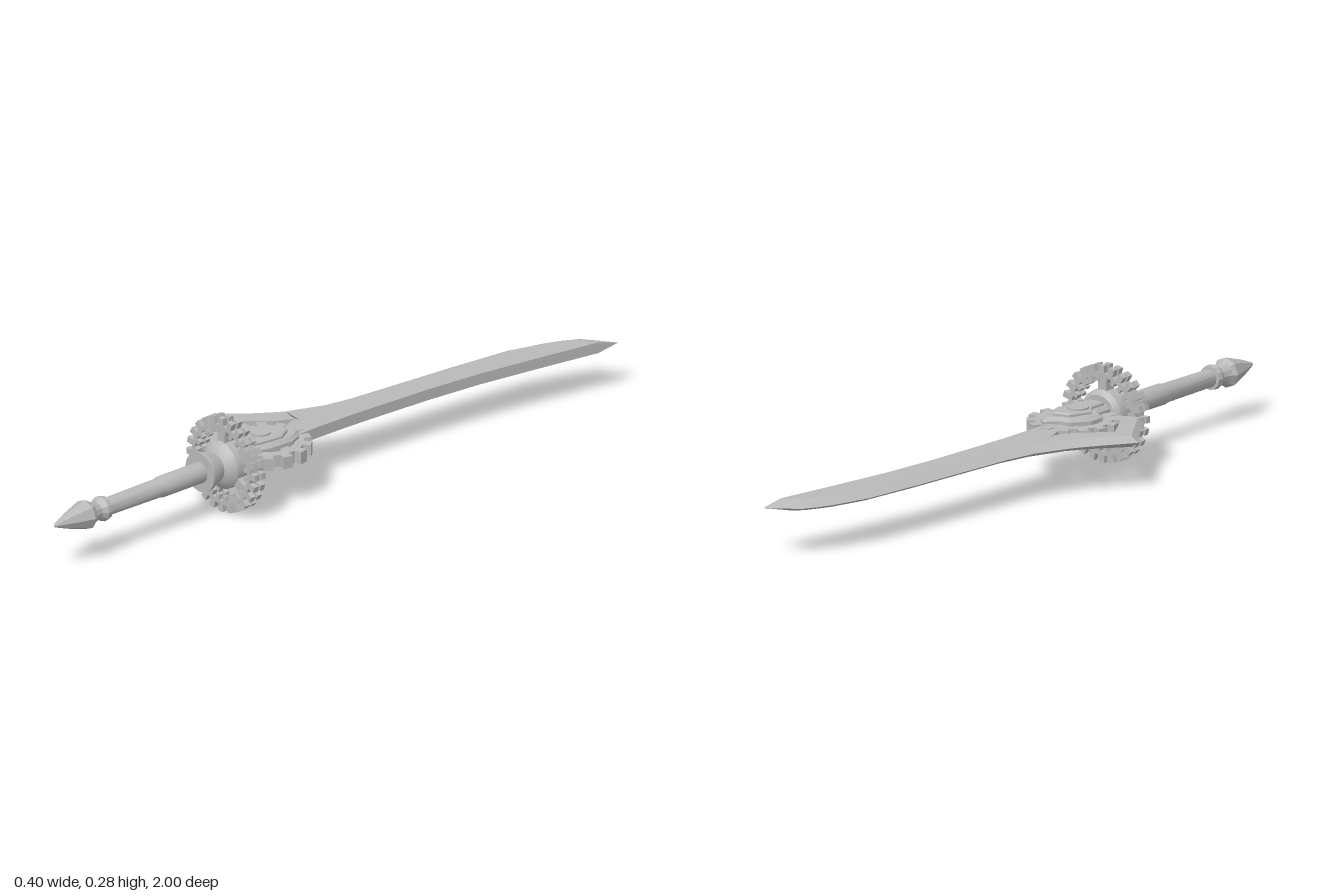
import * as THREE from 'three';
import { toCreasedNormals } from 'three/addons/utils/BufferGeometryUtils.js';

const AXIS = 0.063; // x of the handle axis
const TAU = Math.PI * 2;

export function createModel() {
  const steel = new THREE.MeshStandardMaterial({ color: 0xb8b8b8 });
  steel.name = 'steel';
  const sword = new THREE.Group();
  sword.name = 'gearSword';
  sword.position.y = 0.139;

  const add = (name, geometry, x = 0, y = 0, z = 0, crease = 0.4) => {
    const mesh = new THREE.Mesh(toCreasedNormals(geometry, crease), steel);
    mesh.name = name;
    mesh.position.set(x, y, z);
    sword.add(mesh);
    return mesh;
  };

  // Turned part along z, from [radius, z] points running forward
  const turned = (points, sides) => new THREE.LatheGeometry(
    points.map(([r, z]) => new THREE.Vector2(r, z)), sides).rotateX(Math.PI / 2);

  // Slab centred on its thickness; flat slabs lie in the xz plane
  const slab = (shape, depth, bevel = 0) => new THREE.ExtrudeGeometry(shape, {
    depth: depth - 2 * bevel, bevelEnabled: bevel > 0, bevelSize: bevel,
    bevelThickness: bevel, bevelOffset: -bevel, bevelSegments: 1, curveSegments: 24,
  }).translate(0, 0, bevel - depth / 2);
  const flatSlab = (...args) => slab(...args).rotateX(Math.PI / 2);
  const outline = (points) => new THREE.Shape(points.map(([x, z]) => new THREE.Vector2(x, z)));

  // Crenellated circle with a tooth centred on the +y direction
  const toothed = (high, low, count, fill = 0.25) => {
    const points = [];
    for (let i = 0; i < count; i++) {
      const a = (i / count) * TAU + Math.PI / 2, w = (TAU / count) * fill;
      const gap = TAU / count - w;
      [[low, -w * 1.1], [high, -w], [high, w], [low, w * 1.1], [low, gap / 2 + w / 2]].forEach(([r, d]) =>
        points.push(new THREE.Vector2(r * Math.cos(a + d), r * Math.sin(a + d))));
    }
    return points;
  };
  const ring = (outer, inner) => {
    const shape = new THREE.Shape(outer);
    shape.holes.push(new THREE.Path(inner));
    return shape;
  };
  const circle = (r, n = 40) => new THREE.Path().absarc(0, 0, r, 0, TAU).getPoints(n / 2);

  // Strip with a sharp left edge and a square right edge.
  // Station: edge x, z, ridge x, z, back x, z, thickness factor
  const edgedStrip = (stations, half = 0.016) => {
    const sections = stations.map(([lx, lz, tx, tz, rx, rz, f = 1]) => [
      [lx, 0, lz], [tx, half * f, tz], [rx, half * f, rz], [rx, -half * f, rz], [tx, -half * f, tz]]);
    const positions = [];
    const tri = (a, b, c) => positions.push(...a, ...b, ...c);
    for (let i = 0; i < sections.length - 1; i++) {
      const p = sections[i], q = sections[i + 1];
      for (let k = 0; k < 5; k++) {
        const n = (k + 1) % 5;
        tri(p[k], q[k], p[n]);
        tri(p[n], q[k], q[n]);
      }
    }
    const s = sections[0], e = sections[sections.length - 1];
    for (let k = 1; k < 4; k++) {
      tri(s[0], s[k], s[k + 1]);
      tri(e[0], e[k + 1], e[k]);
    }
    const geometry = new THREE.BufferGeometry();
    geometry.setAttribute('position', new THREE.Float32BufferAttribute(positions, 3));
    return geometry;
  };

  // Curved blade
  add('blade', edgedStrip([
    [0.185, -1.0, 0.185, -1.0, 0.185, -1.0, 0],
    [0.13, -0.965, 0.142, -0.925, 0.174, -0.935],
    [0.095, -0.94, 0.118, -0.9, 0.168, -0.9],
    [0.072, -0.9, 0.1, -0.865, 0.162, -0.865],
    [0.053, -0.855, 0.083, -0.83, 0.156, -0.83],
    [0.02, -0.74, 0.052, -0.72, 0.138, -0.72],
    [0, -0.55, 0.032, -0.55, 0.112, -0.55],
    [-0.015, -0.37, 0.017, -0.37, 0.095, -0.37],
    [-0.03, -0.2, 0.002, -0.195, 0.085, -0.18],
    [-0.048, -0.1, -0.018, -0.09, 0.081, -0.08],
    [-0.09, 0, -0.06, 0.018, 0.08, 0.04],
  ]), 0, 0, 0, 0.3);

  // Pointed wing that sweeps back around the opening
  add('guardWing', edgedStrip([
    [-0.09, 0, -0.06, 0.018, -0.005, 0.035],
    [-0.112, 0.038, -0.084, 0.055, -0.032, 0.088],
    [-0.14, 0.08, -0.115, 0.097, -0.072, 0.128],
    [-0.2, 0.165, -0.176, 0.167, -0.115, 0.17],
    [-0.14, 0.25, -0.126, 0.243, -0.085, 0.222],
    [-0.085, 0.335, -0.075, 0.322, -0.055, 0.268],
  ]), 0, 0, 0, 0.3);
  add('lowerArm', flatSlab(outline([[-0.085, 0.335], [-0.055, 0.265], [-0.02, 0.262],
    [0.04, 0.25], [0.04, 0.3], [-0.03, 0.312]]), 0.032));
  add('bladeRoot', flatSlab(outline([[-0.005, 0.03], [0.08, 0.03], [0.085, 0.2], [0.03, 0.2], [0.015, 0.1]]), 0.032));

  // Flat cog around the mechanism
  add('flatGear', flatSlab(ring(toothed(0.13, 0.108, 14), circle(0.082)), 0.036), 0.053, 0, 0.2);
  for (let i = 0; i < 3; i++) {
    const spoke = add('flatGearSpoke', new THREE.BoxGeometry(0.1, 0.03, 0.026), 0.053, 0, 0.2);
    spoke.geometry.translate(0.05, 0, 0);
    spoke.rotation.y = 0.15 + (i * TAU) / 3;
  }

  // Mechanism housing with mirrored cover plates and round bosses
  add('housing', flatSlab(outline([[0.018, 0.135], [0.05, 0.135], [0.082, 0.1], [0.105, 0.12], [0.12, 0.16],
    [0.115, 0.24], [0.1, 0.28], [0.1, 0.34], [0.022, 0.34], [0.02, 0.27], [-0.02, 0.235], [-0.018, 0.19]]),
  0.07, 0.01));
  for (const side of [1, -1]) {
    add('coverPlate', flatSlab(outline([[0.03, 0.155], [0.08, 0.14], [0.103, 0.18], [0.098, 0.24],
      [0.085, 0.31], [0.035, 0.31], [0.035, 0.26], [0.005, 0.22]]), 0.014, 0.004), 0, side * 0.038, 0);
    add('boss', new THREE.CylinderGeometry(0.03, 0.03, 0.008, 20), 0.05, side * 0.046, 0.215);
  }

  // Upright guard gear: two toothed plates on a core ring
  for (const z of [0.343, 0.367]) {
    add('guardGearPlate', slab(ring(toothed(0.138, 0.117, 24), toothed(0.106, 0.092, 24)), 0.016), AXIS, 0, z);
  }
  add('guardGearCore', slab(ring(circle(0.115, 48), circle(0.106, 48)), 0.012), AXIS, 0, 0.355);
  for (let i = 0; i < 3; i++) {
    const spoke = add('guardSpoke', new THREE.BoxGeometry(0.028, 0.06, 0.036), AXIS, 0, 0.355);
    spoke.geometry.translate(0, 0.08, 0);
    spoke.rotation.z = (i * TAU) / 3;
  }

  // Collar, grip and pointed pommel
  add('collar', turned([[0, 0.32], [0.058, 0.32], [0.07, 0.335], [0.07, 0.375], [0.055, 0.392], [0.042, 0.4],
    [0.046, 0.415], [0.058, 0.445], [0.058, 0.453], [0, 0.453]], 16), AXIS, 0, 0);
  add('grip', turned([[0.03, 0.44], [0.03, 0.6], [0.027, 0.61], [0.025, 0.82]], 16), AXIS, 0, 0, 0.6);
  add('pommelNeck', turned([[0, 0.805], [0.034, 0.81], [0.036, 0.825], [0.027, 0.84], [0.027, 0.85],
    [0.035, 0.872], [0, 0.876]], 12), AXIS, 0, 0);
  add('pommelSpike', turned([[0, 0.862], [0.032, 0.864], [0.043, 0.882], [0.024, 0.945], [0.006, 0.994], [0, 1]], 8),
    AXIS, 0, 0, 0.3);

  return sword;
}
